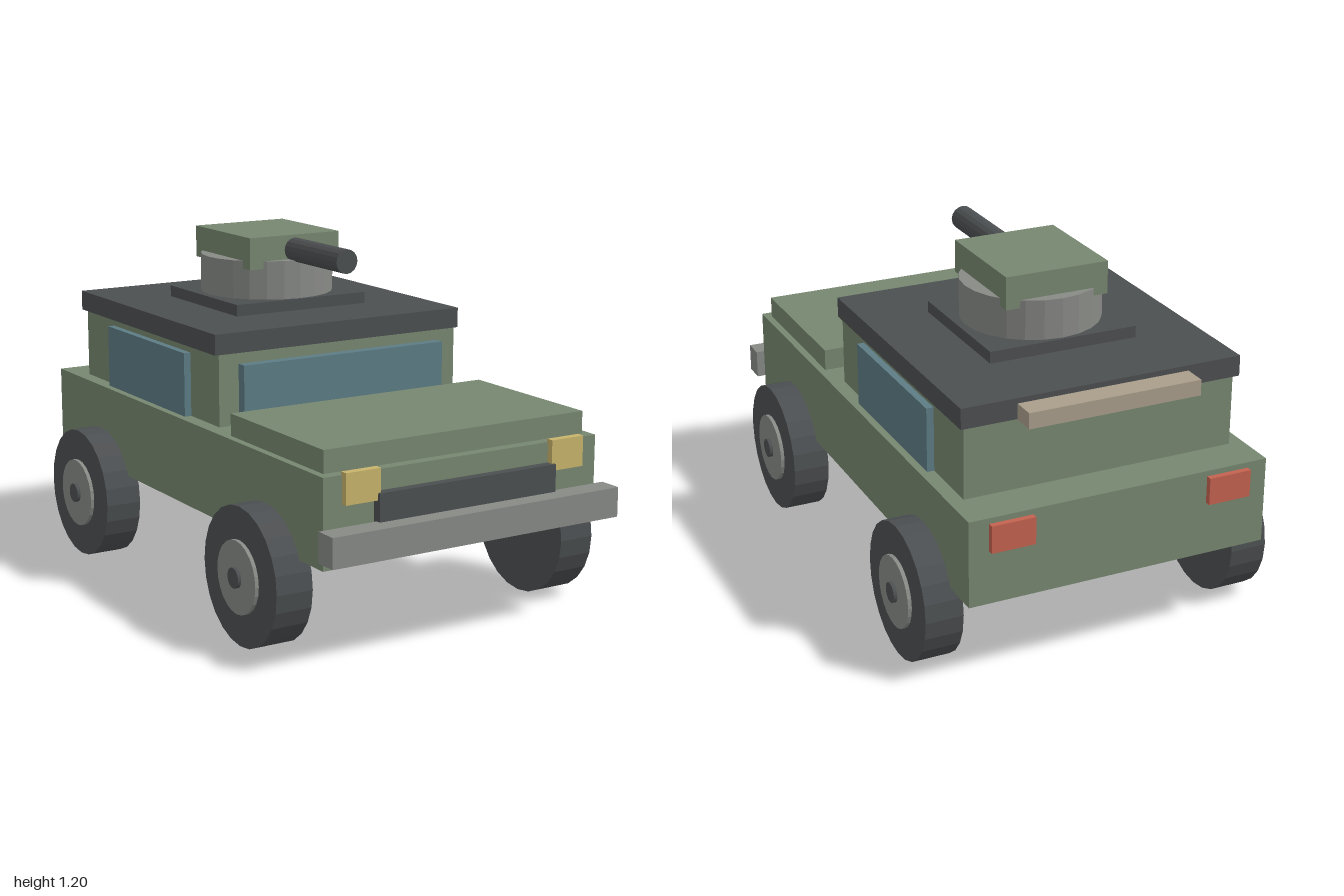
import * as THREE from 'three';

const mat = (name, color) => {
  const m = new THREE.MeshStandardMaterial({ color, flatShading: true });
  m.name = name;
  return m;
};

export function createModel() {
  const green = mat('olive green', 0x768770);
  const dark = mat('charcoal', 0x4c4f51);
  const grey = mat('metal grey', 0x888a86);
  const blue = mat('window blue', 0x5d7c86);
  const yellow = mat('headlight yellow', 0xc8b46c);
  const red = mat('tail light red', 0xc4624f);
  const tan = mat('canvas tan', 0xaa9e8b);

  const car = new THREE.Group();
  car.name = 'armouredTruck';

  const add = (name, geometry, material, parent = car) => {
    const mesh = new THREE.Mesh(geometry, material);
    mesh.name = name;
    parent.add(mesh);
    return mesh;
  };
  // box given by its lower and upper limits on each axis
  const box = (name, material, [x0, x1], [y0, y1], [z0, z1]) => {
    const mesh = add(name, new THREE.BoxGeometry(x1 - x0, y1 - y0, z1 - z0), material);
    mesh.position.set((x0 + x1) / 2, (y0 + y1) / 2, (z0 + z1) / 2);
    return mesh;
  };
  const wide = (w) => [-w, w];

  // hull and cabin
  box('body', green, wide(0.525), [0.33, 0.625], [-0.98, 0.905]);
  box('hood', green, wide(0.5), [0.625, 0.7], [0.295, 0.867]);
  box('cabin', green, wide(0.475), [0.625, 0.87], [-0.835, 0.173]);
  box('roof', dark, wide(0.49), [0.87, 0.94], [-0.85, 0.176]);
  box('windshield', blue, wide(0.4), [0.625, 0.833], [0.17, 0.21]);
  box('rearBedroll', tan, wide(0.3), [0.868, 0.922], [-0.93, -0.845]);

  // nose
  box('grille', dark, wide(0.34), [0.4, 0.557], [0.9, 0.937]);
  box('bumper', grey, wide(0.55), [0.365, 0.465], [0.92, 1.0]);

  // mirrored details
  for (const s of [1, -1]) {
    const side = (a, b) => (s > 0 ? [a, b] : [-b, -a]);
    const label = s > 0 ? 'left' : 'right';
    box(label + 'Window', blue, side(0.47, 0.5), [0.625, 0.845], [-0.61, -0.025]);
    box(label + 'Headlight', yellow, side(0.33, 0.457), [0.533, 0.635], [0.9, 0.927]);
    box(label + 'TailLight', red, side(0.307, 0.457), [0.513, 0.606], [-1.0, -0.975]);

    // wheels: tyre, hub and axle cap, stacked outwards
    for (const [end, z] of [['Front', 0.558], ['Rear', -0.632]]) {
      const wheel = new THREE.Group();
      wheel.name = label + end + 'Wheel';
      wheel.position.set(0, 0.235, z);
      car.add(wheel);
      const disc = (name, r, x0, x1, material) => {
        const g = new THREE.CylinderGeometry(r, r, x1 - x0, 24).rotateZ(Math.PI / 2);
        add(name, g, material, wheel).position.x = s * (x0 + x1) / 2;
      };
      disc('tyre', 0.232, 0.49, 0.62, dark);
      disc('hub', 0.122, 0.6, 0.633, grey);
      disc('axleCap', 0.034, 0.62, 0.645, dark);
    }
  }

  // turret
  box('turretBase', dark, wide(0.262), [0.94, 0.98], [-0.573, -0.08]);
  add('turretRing', new THREE.CylinderGeometry(0.237, 0.237, 0.135, 24), grey)
    .position.set(0, 1.0475, -0.325);
  box('turretHousing', green, wide(0.182), [1.088, 1.2], [-0.52, -0.127]);
  add('gunBarrel', new THREE.CylinderGeometry(0.042, 0.042, 0.4, 16).rotateX(Math.PI / 2), dark)
    .position.set(0, 1.148, 0.013);

  return car;
}
